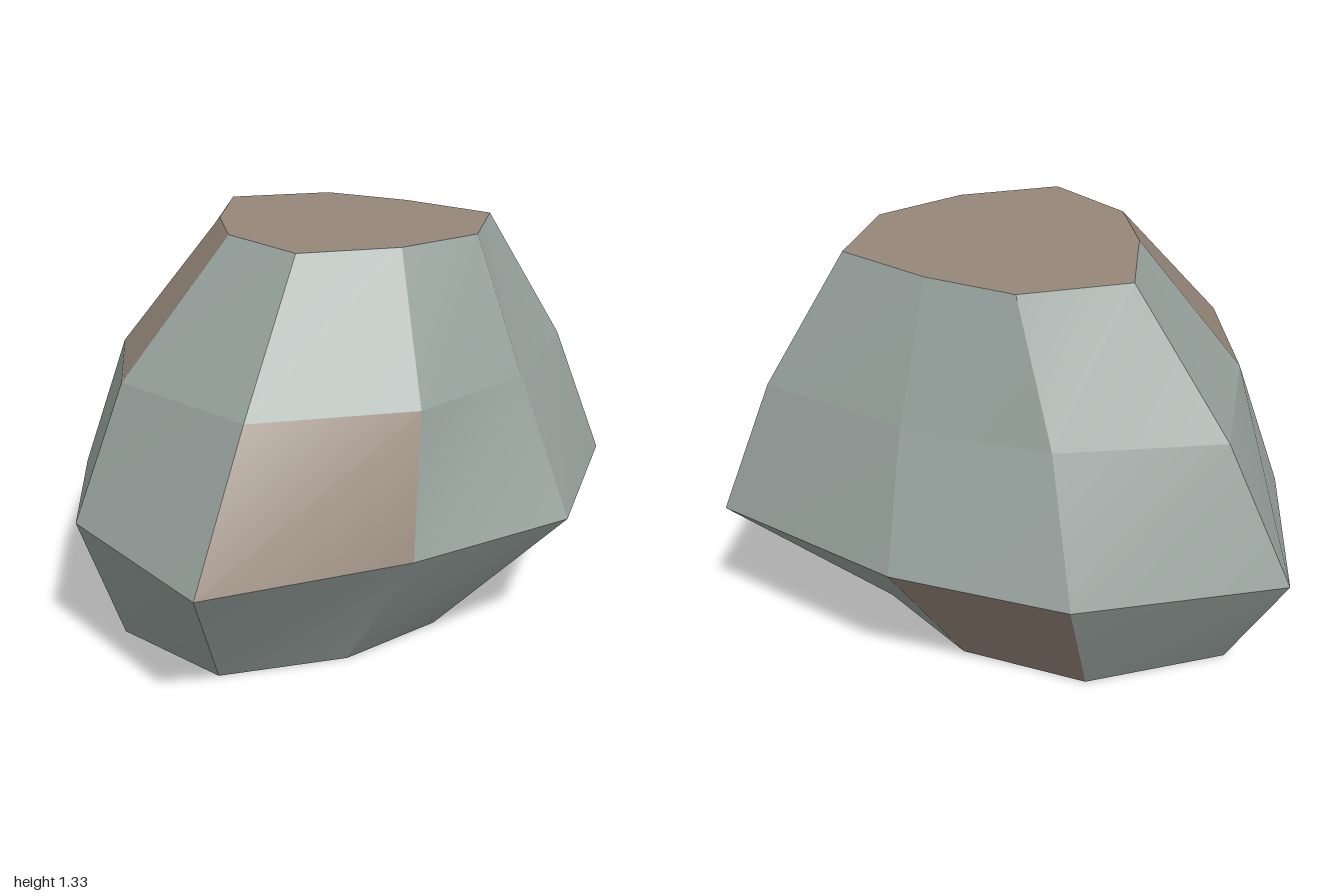
import * as THREE from 'three';

// Rings of the boulder from the ground up: height, then nine [x, z] corners
// running from the back round by the left side to the front.
const RINGS = [
  { y: 0, pts: [[0.15, -0.71], [0.54, -0.42], [0.64, 0.01], [0.525, 0.435], [0.12, 0.59], [-0.27, 0.5], [-0.62, 0.24], [-0.57, -0.21], [-0.21, -0.46]] },
  { y: 0.445, pts: [[0.275, -1], [0.785, -0.54], [0.95, 0.04], [0.95, 0.765], [0.26, 1], [-0.335, 0.785], [-0.955, 0.425], [-0.74, -0.255], [-0.3, -0.625]] },
  { y: 0.89, pts: [[0.31, -0.785], [0.67, -0.39], [0.81, 0.085], [0.825, 0.64], [0.285, 0.79], [-0.215, 0.72], [-0.64, 0.365], [-0.56, -0.2], [-0.19, -0.525]] },
  { y: 1.33, pts: [[0.32, -0.44], [0.6, -0.21], [0.65, 0.1], [0.635, 0.45], [0.31, 0.59], [-0.005, 0.5], [-0.275, 0.285], [-0.19, -0.05], [0.01, -0.25]] },
];
const SIDES = 9;

// Facets of exposed earth, as "band,side"
const EARTH_FACETS = new Set(['0,1', '0,3', '1,5', '2,7']);

// One mesh from flat polygons; each polygon keeps its own corners so edges stay sharp
function facetMesh(name, polygons, material) {
  const positions = [];
  const index = [];
  for (const polygon of polygons) {
    const start = positions.length / 3;
    polygon.forEach((p) => positions.push(...p));
    for (let i = 1; i < polygon.length - 1; i++) index.push(start, start + i, start + i + 1);
  }
  const geometry = new THREE.BufferGeometry();
  geometry.setAttribute('position', new THREE.Float32BufferAttribute(positions, 3));
  geometry.setIndex(index);
  geometry.computeVertexNormals();
  const mesh = new THREE.Mesh(geometry, material);
  mesh.name = name;
  return mesh;
}

export function createModel() {
  const stone = new THREE.MeshStandardMaterial({ color: 0x98a39e });
  stone.name = 'greyStone';
  const earth = new THREE.MeshStandardMaterial({ color: 0x968779 });
  earth.name = 'brownEarth';

  const corner = (ring, i) => {
    const [x, z] = RINGS[ring].pts[i % SIDES];
    return [x, RINGS[ring].y, z];
  };
  const ringPolygon = (ring) => RINGS[ring].pts.map((_, i) => corner(ring, i));

  // Side facets, sorted by colour
  const stoneFacets = [];
  const earthFacets = [];
  for (let band = 0; band < RINGS.length - 1; band++) {
    for (let i = 0; i < SIDES; i++) {
      const quad = [corner(band, i + 1), corner(band, i), corner(band + 1, i), corner(band + 1, i + 1)];
      (EARTH_FACETS.has(`${band},${i}`) ? earthFacets : stoneFacets).push(quad);
    }
  }

  const group = new THREE.Group();
  group.name = 'boulder';
  group.add(
    facetMesh('stoneSides', stoneFacets, stone),
    facetMesh('earthPatches', earthFacets, earth),
    facetMesh('flatTop', [ringPolygon(RINGS.length - 1).reverse()], earth),
    facetMesh('underside', [ringPolygon(0)], stone),
  );
  return group;
}
